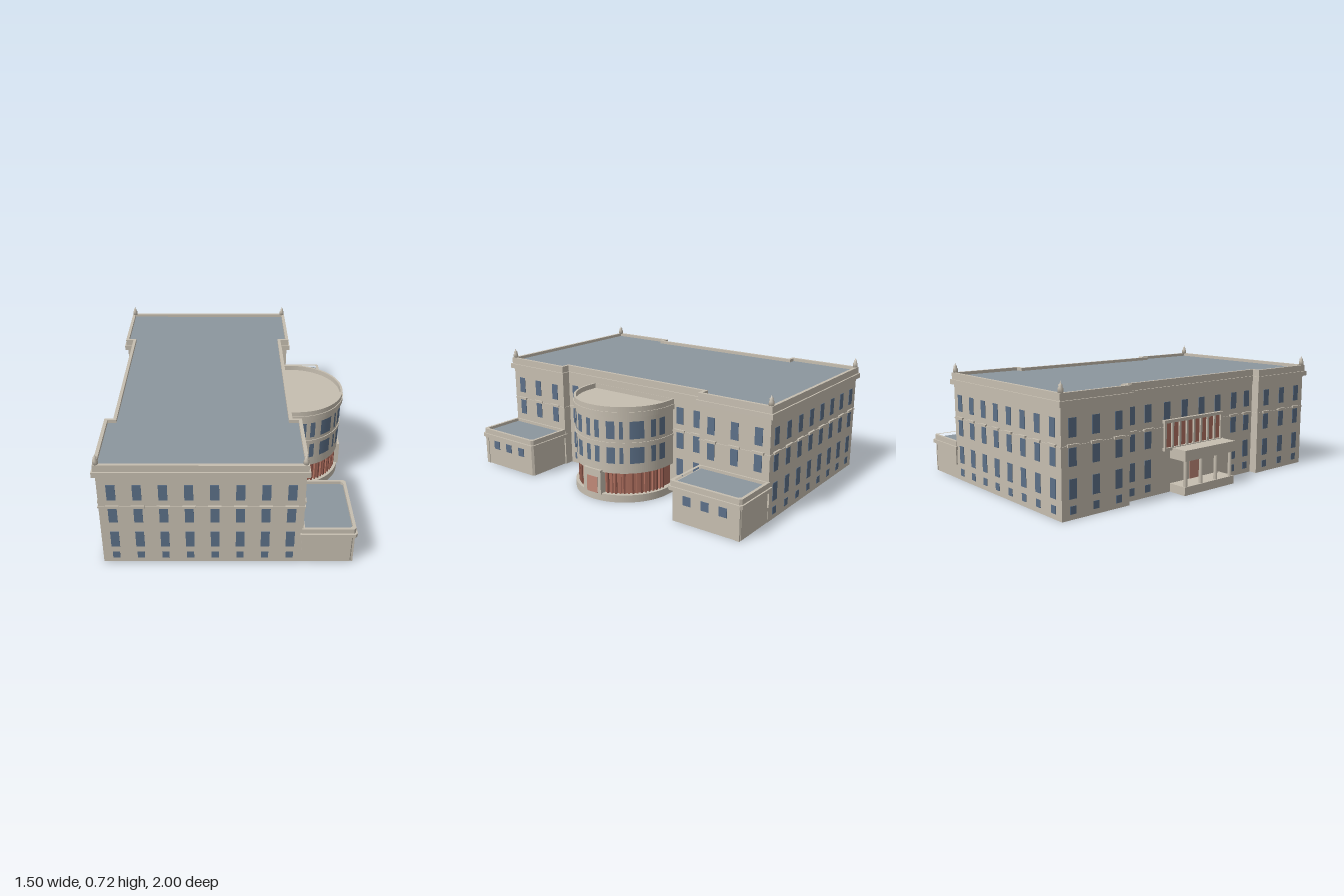
import * as THREE from 'three';

const mat = (name, color, side = THREE.FrontSide) => {
  const m = new THREE.MeshStandardMaterial({ color, side });
  m.name = name;
  return m;
};

export function createModel() {
  const model = new THREE.Group();
  model.name = 'building';
  const stone = mat('stone', 0xc6beb0);
  const roofGrey = mat('roofGrey', 0x8c969e, THREE.DoubleSide);
  const glass = mat('glass', 0x5c7088, THREE.DoubleSide);
  const red = mat('redPanel', 0xb0705f);
  const darkRed = mat('darkRedRib', 0x8c564a);
  const doorRed = mat('doorRed', 0xc08878);

  const add = (name, geo, material, x = 0, y = 0, z = 0) => {
    const m = new THREE.Mesh(geo, material);
    m.name = name;
    m.position.set(x, y, z);
    model.add(m);
    return m;
  };
  // Box given by its lower and upper limits
  const box = (name, material, x0, x1, y0, y1, z0, z1) =>
    add(name, new THREE.BoxGeometry(x1 - x0, y1 - y0, z1 - z0), material,
      (x0 + x1) / 2, (y0 + y1) / 2, (z0 + z1) / 2);
  // Plan outline (x, z) raised from y0 to y1, optionally hollow
  const raise = (name, material, shape, y0, y1, hole) => {
    if (hole) shape.holes.push(hole);
    const g = new THREE.ExtrudeGeometry(shape, { depth: y1 - y0, bevelEnabled: false, curveSegments: 40 });
    g.rotateX(Math.PI / 2);
    return add(name, g, material, 0, y1, 0);
  };
  const outline = pts => new THREE.Shape(pts.map(p => new THREE.Vector2(p[0], p[1])));

  // Main block plan, grown outward by o
  const mainPlan = o => {
    const r = 0.425 + o, rc = 0.37 + o, l = -0.68 - o, lc = -0.63 - o, e = 0.98 + o, i = 0.53 - o;
    return outline([[l, -e], [r, -e], [r, -i], [rc, -i], [rc, i], [r, i],
      [r, e], [l, e], [l, i], [lc, i], [lc, -i], [l, -i]]);
  };
  raise('mainWalls', stone, mainPlan(0), 0, 0.59, mainPlan(-0.006));
  raise('stringCourse', stone, mainPlan(0.005), 0.38, 0.388, mainPlan(-0.004));
  raise('mainCornice', stone, mainPlan(0.018), 0.59, 0.62, mainPlan(-0.006));
  raise('mainParapet', stone, mainPlan(0.009), 0.62, 0.66, mainPlan(-0.01));
  raise('mainRoof', roofGrey, mainPlan(-0.008), 0.636, 0.641);

  // Corner finials
  const finial = new THREE.LatheGeometry([[0, 0], [0.015, 0], [0.015, 0.025], [0.01, 0.03],
    [0.011, 0.042], [0.005, 0.046], [0, 0.062]].map(p => new THREE.Vector2(p[0], p[1])), 8);
  for (const x of [-0.672, 0.417])
    for (const z of [-0.972, 0.972]) add('finial', finial, stone, x, 0.658, z);

  // Windows: rows as [bottom, top, width]
  const rows = [[0.03, 0.073, 0.04], [0.11, 0.215, 0.048], [0.28, 0.376, 0.048], [0.43, 0.53, 0.048]];
  const T = 0.002;
  const paneZ = (x, z, [a, b, w]) => box('window', glass, x - w / 2, x + w / 2, a, b, z - T, z + T);
  const paneX = (x, z, [a, b, w]) => box('window', glass, x - T, x + T, a, b, z - w / 2, z + w / 2);
  const lintelX = (x, z) => box('lintel', stone, x - 0.012, x + 0.012, 0.382, 0.396, z - 0.036, z + 0.036);

  for (const s of [-1, 1]) {
    // Front and back facades
    for (let i = 0; i < 8; i++) {
      const x = -0.607 + i * 0.1375;
      rows.forEach(r => paneZ(x, s * 0.981, r));
      box('lintel', stone, x - 0.036, x + 0.036, 0.382, 0.396, s * 0.98 - 0.012, s * 0.98 + 0.012);
    }
    // Projecting ends of the long sides
    for (const z of [0.91, 0.76, 0.607]) {
      rows.slice(2).forEach(r => paneX(0.426, s * z, r));
      rows.forEach(r => paneX(-0.681, s * z, r));
      lintelX(0.425, s * z);
      lintelX(-0.68, s * z);
    }
    // Recessed middle of the long sides
    for (const z of [0.475, 0.355]) {
      rows.forEach(r => { paneX(0.371, s * z, r); paneX(-0.631, s * z, r); });
      lintelX(0.37, s * z);
      lintelX(-0.63, s * z);
    }
    for (const z of [0.07, 0.21]) paneX(-0.631, s * z, rows[3]);

    // Low annex with chamfered outer corners
    const annexPlan = o => {
      const x0 = 0.425 - o, x1 = 0.708 + o, z0 = 0.54 - o, z1 = 0.978 + o, c = 0.012;
      const p = [[x0, z0], [x1 - c, z0], [x1, z0 + c], [x1, z1 - c], [x1 - c, z1], [x0, z1]];
      return outline(p.map(([x, z]) => [x, s * z]));
    };
    raise('annexWalls', stone, annexPlan(0), 0, 0.185, annexPlan(-0.006));
    raise('annexCornice', stone, annexPlan(0.016), 0.183, 0.205, annexPlan(-0.006));
    raise('annexParapet', stone, annexPlan(0.007), 0.205, 0.236, annexPlan(-0.01));
    raise('annexRoof', roofGrey, annexPlan(-0.008), 0.213, 0.218);
    for (const z of [0.873, 0.76, 0.645]) paneX(0.709, s * z, [0.11, 0.163, 0.05]);
    const zp = s * 0.978;
    box('annexBracket', stone, 0.42, 0.43, 0.09, 0.185, zp - 0.01, zp + 0.01);
    box('annexPilaster', stone, 0.702, 0.712, 0, 0.185, s * 0.965 - 0.012, s * 0.965 + 0.012);
  }

  // Rounded bow on the right side
  const CX = 0.43, deg = Math.PI / 180;
  const bowPlan = (r, x0 = 0.366) => {
    const s = new THREE.Shape();
    s.moveTo(x0, -r);
    s.lineTo(CX, -r);
    s.absarc(CX, 0, r, -Math.PI / 2, Math.PI / 2, false);
    s.lineTo(x0, r);
    s.closePath();
    return s;
  };
  raise('bowBase', stone, bowPlan(0.314), 0, 0.045);
  raise('bowGroundWall', red, bowPlan(0.282), 0.045, 0.175);
  raise('bowWall', stone, bowPlan(0.304), 0.175, 0.515);
  raise('bowBand', stone, bowPlan(0.309), 0.352, 0.362);
  raise('bowCornice', stone, bowPlan(0.316), 0.515, 0.545);
  raise('bowParapet', stone, bowPlan(0.311), 0.545, 0.575, bowPlan(0.298, 0.372));

  // Curved bow windows, in degrees either side of the axis
  for (const [a, b] of [[3, 9], [17.5, 27], [32, 36], [43, 59], [67, 73], [78, 86]])
    for (const [y0, y1] of [[0.235, 0.332], [0.383, 0.487]])
      for (const s of [-1, 1]) {
        const start = s > 0 ? 90 - b : 90 + a;
        add('bowWindow', new THREE.CylinderGeometry(0.306, 0.306, y1 - y0, 6, 1, true,
          start * deg, (b - a) * deg), glass, CX, (y0 + y1) / 2, 0);
      }

  // Ribs along the bow's ground floor
  for (const s of [-1, 1])
    for (let i = 0; i < 15; i++) {
      const a = s * (17 + i * 4.9) * deg;
      const rib = add('bowRib', new THREE.BoxGeometry(0.014, 0.13, 0.01), i % 2 ? red : darkRed,
        CX + 0.289 * Math.cos(a), 0.11, 0.289 * Math.sin(a));
      rib.rotation.y = -a;
    }

  // Entrance block in the bow
  box('entranceBlock', stone, 0.66, 0.746, 0.04, 0.188, -0.062, 0.07);
  box('entranceDoor', doorRed, 0.745, 0.749, 0.045, 0.143, -0.038, 0.042);

  // Porch on the left side
  box('porchBase', stone, -0.752, -0.628, 0, 0.05, -0.18, 0.235);
  box('porchRoof', stone, -0.755, -0.628, 0.2, 0.263, -0.183, 0.238);
  for (let i = 0; i < 4; i++) {
    const z = -0.16 + i * 0.125;
    add('porchColumn', new THREE.CylinderGeometry(0.011, 0.012, 0.15, 10), stone, -0.735, 0.125, z);
  }
  box('porchDoor', doorRed, -0.634, -0.63, 0.05, 0.16, -0.02, 0.07);

  // Loggia above the porch
  box('loggiaPanel', red, -0.636, -0.628, 0.265, 0.41, -0.235, 0.235);
  box('loggiaCap', stone, -0.651, -0.628, 0.41, 0.428, -0.243, 0.243);
  box('loggiaSill', stone, -0.651, -0.628, 0.25, 0.267, -0.243, 0.243);
  for (let i = 0; i < 9; i++) {
    const z = -0.232 + i * 0.058;
    box('loggiaColumn', stone, -0.647, -0.635, 0.266, 0.411, z - 0.007, z + 0.007);
  }
  return model;
}
